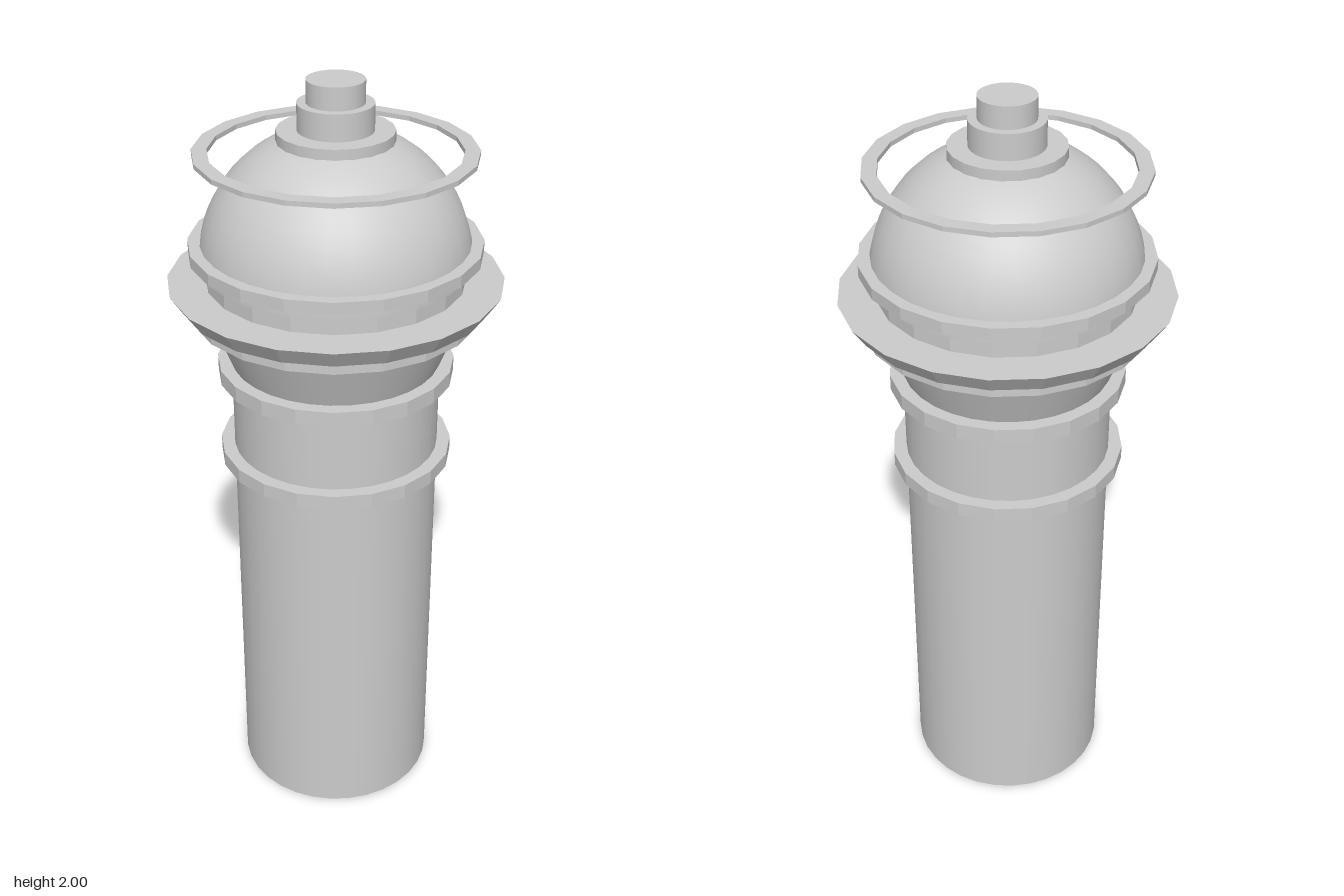
import * as THREE from 'three';

const SIDES = 20;

export function createModel() {
  const group = new THREE.Group();
  const smooth = new THREE.MeshStandardMaterial({ color: 0xcccccc });
  const faceted = new THREE.MeshStandardMaterial({ color: 0xcccccc, flatShading: true });

  function add(name, geometry, material, y = 0) {
    const mesh = new THREE.Mesh(geometry, material);
    mesh.name = name;
    mesh.position.y = y;
    group.add(mesh);
  }

  // Round section between two heights, optionally tapered
  function drum(name, y0, y1, rBottom, rTop = rBottom, material = faceted, sides = SIDES) {
    add(name, new THREE.CylinderGeometry(rTop, rBottom, y1 - y0, sides), material, (y0 + y1) / 2);
  }

  // Shaft and its two collars
  drum('shaft', 0, 1.288, 0.265, 0.265, smooth, 32);
  drum('lowerCollar', 1.013, 1.05, 0.3);
  drum('upperCollar', 1.248, 1.288, 0.3);

  // Flared neck and gallery
  drum('flaredNeck', 1.288, 1.424, 0.265, 0.318, smooth, 32);
  drum('galleryBase', 1.424, 1.458, 0.362);
  drum('galleryFlange', 1.458, 1.505, 0.386, 0.417);
  drum('lanternDrum', 1.505, 1.575, 0.322);
  drum('domeCollar', 1.575, 1.605, 0.362);

  // Dome
  const dome = new THREE.SphereGeometry(0.336, 32, 16, 0, Math.PI * 2, 0, Math.PI / 2);
  add('dome', dome, smooth, 1.55);

  // Thin ring floating around the dome's crown
  const ringProfile = [[0.305, 1.819], [0.342, 1.819], [0.342, 1.831], [0.305, 1.831], [0.305, 1.819]]
    .map(([r, y]) => new THREE.Vector2(r, y));
  add('crownRing', new THREE.LatheGeometry(ringProfile, SIDES), faceted);

  // Stepped finial
  drum('finialBase', 1.845, 1.88, 0.142, 0.142, smooth);
  drum('finialMiddle', 1.88, 1.945, 0.092, 0.092, smooth, 32);
  drum('finialTop', 1.945, 2, 0.07, 0.07, smooth, 32);

  return group;
}
